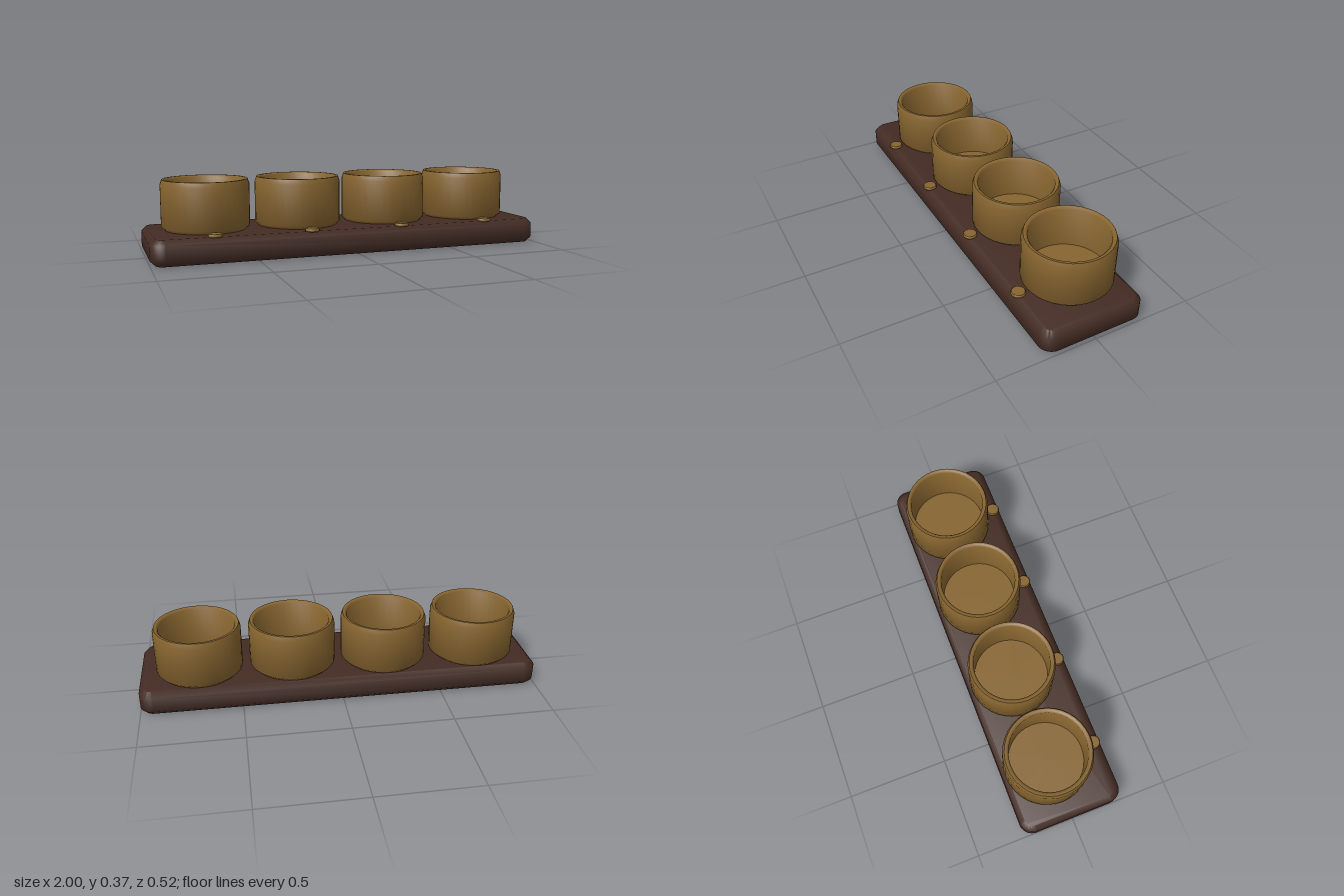
import * as THREE from 'three';
import { toCreasedNormals } from 'three/addons/utils/BufferGeometryUtils.js';

const TRAY_TOP = 0.125;
const CREASE = 0.9;

// Rounded rectangle centred on the origin
function roundedRect(w, d, r) {
  const s = new THREE.Shape();
  const x = w / 2, y = d / 2;
  s.absarc(x - r, y - r, r, 0, Math.PI / 2);
  s.absarc(-x + r, y - r, r, Math.PI / 2, Math.PI);
  s.absarc(-x + r, -y + r, r, Math.PI, Math.PI * 1.5);
  s.absarc(x - r, -y + r, r, Math.PI * 1.5, Math.PI * 2);
  s.closePath();
  return s;
}

// Turned solid from [radius, height] pairs
function turned(points, segments) {
  const profile = points.map(([r, y]) => new THREE.Vector2(r, y));
  return toCreasedNormals(new THREE.LatheGeometry(profile, segments), CREASE);
}

export function createModel() {
  const model = new THREE.Group();
  model.name = 'cupTray';

  const darkWood = new THREE.MeshStandardMaterial({ color: 0x432b23 });
  darkWood.name = 'darkWood';
  const brass = new THREE.MeshStandardMaterial({ color: 0x86642f });
  brass.name = 'brass';

  // Tray with rounded corners and chamfered edges
  const bevel = 0.025;
  const slab = new THREE.ExtrudeGeometry(roundedRect(2 - 2 * bevel, 0.52 - 2 * bevel, 0.04), {
    depth: TRAY_TOP - 2 * bevel,
    bevelEnabled: true,
    bevelThickness: bevel,
    bevelSize: bevel,
    bevelSegments: 1,
    curveSegments: 5,
  });
  slab.rotateX(-Math.PI / 2);
  slab.translate(0, bevel, 0);
  const tray = new THREE.Mesh(toCreasedNormals(slab, CREASE), darkWood);
  tray.name = 'tray';
  model.add(tray);

  // Open cup: underside, outer wall, rim, inner wall, floor
  const cupGeometry = turned([
    [0, 0], [0.2, 0], [0.216, 0.016], [0.216, 0.22], [0.207, 0.245],
    [0.195, 0.245], [0.187, 0.235], [0.187, 0.03], [0, 0.03],
  ], 36);

  // Small round marker with a softened edge
  const markerGeometry = turned([
    [0, 0], [0.031, 0], [0.035, 0.005], [0.035, 0.011], [0.031, 0.016], [0, 0.016],
  ], 20);

  // Four cups in a row, each with a marker in front
  for (let i = 0; i < 4; i++) {
    const x = (i - 1.5) * 0.469;

    const cup = new THREE.Mesh(cupGeometry, brass);
    cup.name = `cup${i + 1}`;
    cup.position.set(x, TRAY_TOP, -0.031);
    model.add(cup);

    const marker = new THREE.Mesh(markerGeometry, brass);
    marker.name = `marker${i + 1}`;
    marker.position.set(x, TRAY_TOP - 0.002, 0.225);
    model.add(marker);
  }

  return model;
}
